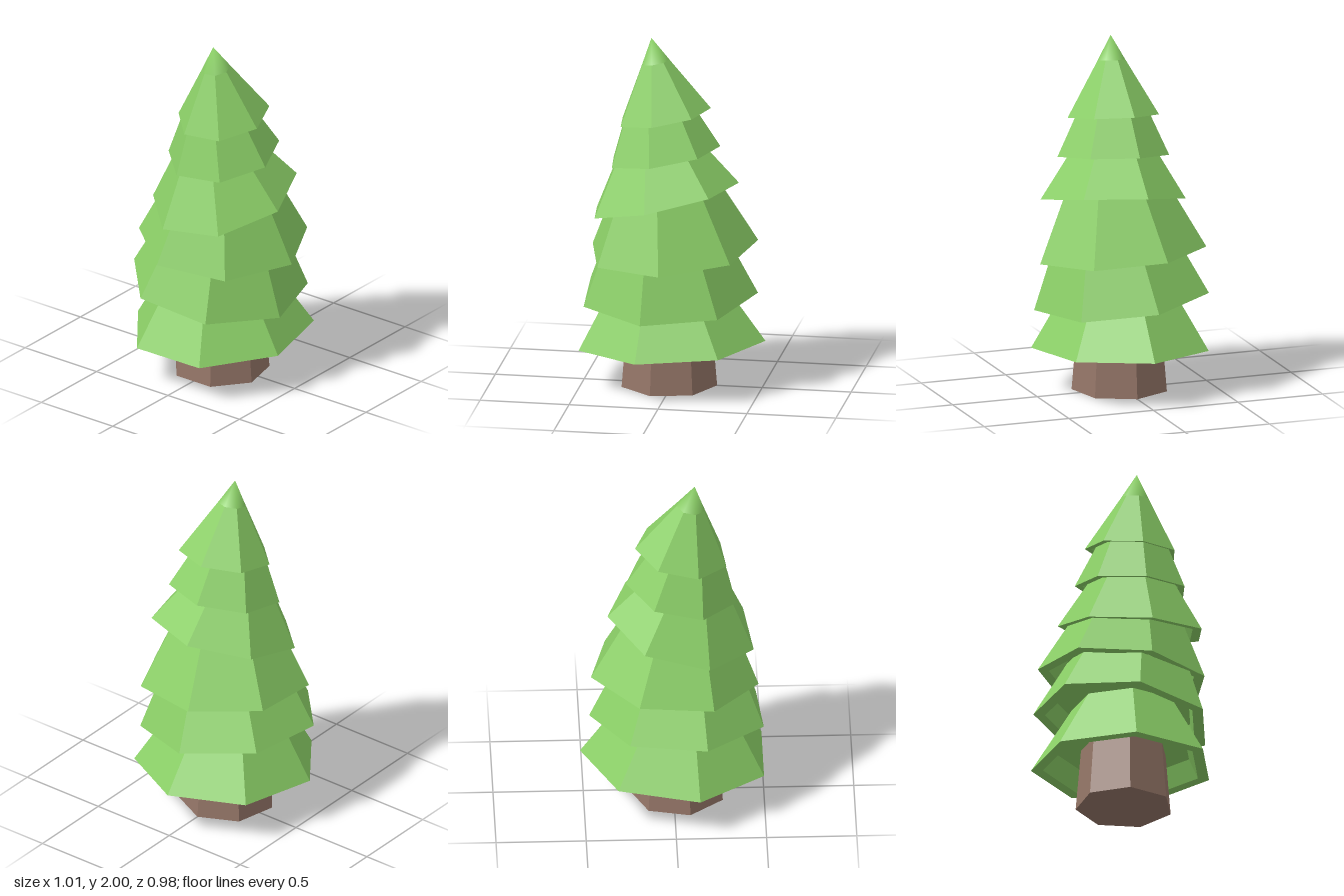
import * as THREE from 'three';

const SIDES = 7;
const green = new THREE.MeshStandardMaterial({ color: 0x8ace66, flatShading: true });
const greenSmooth = new THREE.MeshStandardMaterial({ color: 0x8ace66 });
const brown = new THREE.MeshStandardMaterial({ color: 0x957668, flatShading: true });

// Seven-sided turned solid; phase is the angle of the first corner from +x towards +z
function turned(profile, phase) {
  const points = profile.map(([r, h]) => new THREE.Vector2(r, h));
  return new THREE.LatheGeometry(points, SIDES, Math.PI / 2 - THREE.MathUtils.degToRad(phase));
}

// Tilts a part so its base lies in the plane y = tiltX * x + tiltZ * z
function place(object, [x, y, z], tiltX, tiltZ) {
  object.position.set(x, y, z);
  const normal = new THREE.Vector3(-tiltX, 1, -tiltZ).normalize();
  object.quaternion.setFromUnitVectors(new THREE.Vector3(0, 1, 0), normal);
}

// Branch tiers from the ground up: hollow skirts, each tilted its own way.
// lean slides the top sideways, wide makes the skirt oval.
const tiers = [
  { at: [-0.015, 0.247, -0.003], r: 0.518, top: 0.3, h: 0.35, phase: 0, tilt: [0.045, 0.01], lean: -0.03, wide: 1.03 },
  { at: [-0.03, 0.523, -0.012], r: 0.5, top: 0.35, h: 0.33, phase: -4, tilt: [0.015, -0.11], lean: -0.03, wide: 1 },
  { at: [-0.004, 0.785, 0.005], r: 0.478, top: 0.28, h: 0.4, phase: -13, tilt: [0.07, -0.06], lean: -0.02, wide: 1 },
  { at: [-0.047, 1.08, 0.04], r: 0.42, top: 0.245, h: 0.27, phase: -8, tilt: [0.24, 0.08], lean: 0.08, wide: 1.02 },
  { at: [-0.047, 1.332, 0.036], r: 0.318, top: 0.2, h: 0.25, phase: -8, tilt: [0.175, 0.05], lean: 0.03, wide: 1 },
  { at: [-0.046, 1.559, 0.035], r: 0.262, top: 0.079, h: 0.31, phase: -7, tilt: [0.185, 0.03], lean: 0.02, wide: 1.01 },
];

export function createModel() {
  const tree = new THREE.Group();
  tree.name = 'pineTree';

  // Tapered trunk
  const trunk = new THREE.Mesh(turned([[0, 0], [0.272, 0], [0.23, 0.5], [0, 0.5]], 0), brown);
  trunk.name = 'trunk';
  trunk.position.x = -0.025;
  tree.add(trunk);

  // Tiers: shallow recessed underside, inner wall, rim, outer slope, lid
  tiers.forEach(({ at, r, top, h, phase, tilt, lean, wide }, i) => {
    const tier = new THREE.Group();
    tier.name = `branchTier${i + 1}`;
    const shape = new THREE.Matrix4().makeShear(0, 0, lean, 0, 0, 0);
    shape.scale(new THREE.Vector3(wide, 1, 2 - wide));
    const ceiling = h * 0.3;
    const innerTop = THREE.MathUtils.lerp(r, top, 0.3) * 0.87;
    const profile = [[0, ceiling], [innerTop, ceiling], [r * 0.87, 0], [r, 0], [top, h], [0, h]];
    const skirt = new THREE.Mesh(turned(profile, phase).applyMatrix4(shape), green);
    skirt.name = 'skirt';
    tier.add(skirt);

    // Smoothly shaded point on the last tier
    if (i === tiers.length - 1) {
      const cone = turned([[top, h], [0, 0.448]], phase).applyMatrix4(shape);
      for (let v = 1; v < cone.attributes.normal.count; v += 2) cone.attributes.normal.setXYZ(v, 0, 1, 0);
      const tip = new THREE.Mesh(cone, greenSmooth);
      tip.name = 'tip';
      tier.add(tip);
    }
    place(tier, at, ...tilt);
    tree.add(tier);
  });

  return tree;
}
